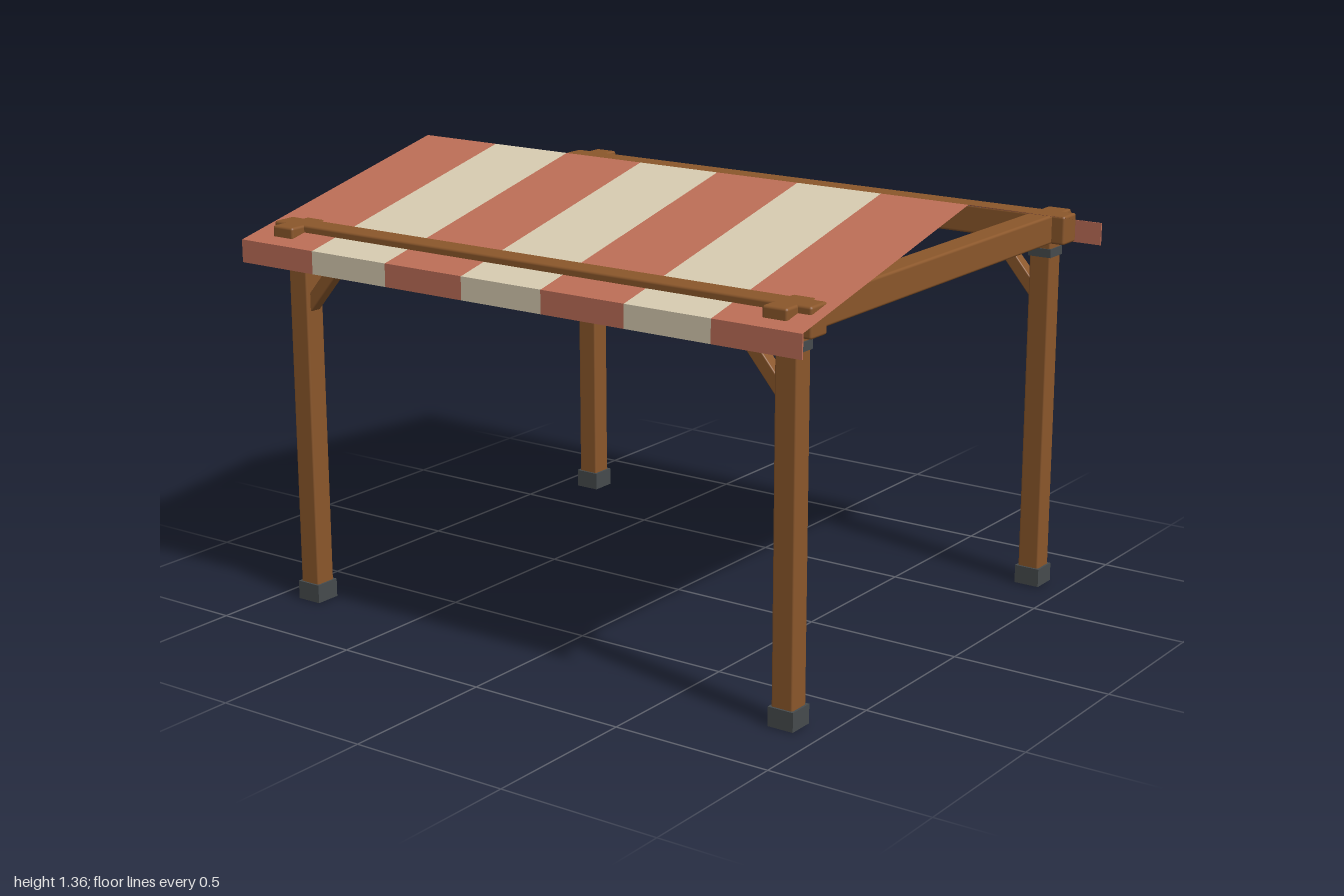
import * as THREE from 'three';
import { RoundedBoxGeometry } from 'three/addons/geometries/RoundedBoxGeometry.js';

const mat = (name, color, side = THREE.FrontSide) => {
  const m = new THREE.MeshStandardMaterial({ color, side });
  m.name = name;
  return m;
};

export function createModel() {
  const group = new THREE.Group();
  group.name = 'canopyPergola';

  const wood = mat('wood', 0x8b572b);
  const metal = mat('darkMetal', 0x464b4d);
  const red = mat('redFabric', 0xbd6e57, THREE.DoubleSide);
  const cream = mat('creamFabric', 0xd8ccb1, THREE.DoubleSide);

  const add = (name, geometry, material, x, y, z) => {
    const mesh = new THREE.Mesh(geometry, material);
    mesh.name = name;
    mesh.position.set(x, y, z);
    group.add(mesh);
    return mesh;
  };
  const timber = (w, h, d, r = 0.008) => new RoundedBoxGeometry(w, h, d, 2, r);

  const postX = 0.88, postZ = 0.716;
  const beamY = 1.16, beamH = 0.09, beamW = 0.08;

  // Posts with metal feet, collars and a diagonal brace each
  const braceFrom = new THREE.Vector2(0.86, 0.946);
  const braceTo = new THREE.Vector2(0.70, 1.133);
  const braceDir = braceTo.clone().sub(braceFrom);
  for (const sx of [-1, 1]) {
    for (const sz of [-1, 1]) {
      const x = sx * postX, z = sz * postZ;
      add('post', timber(0.07, 1.13, 0.07, 0.006), wood, x, 0.565, z);
      add('postFoot', new THREE.BoxGeometry(0.083, 0.058, 0.083), metal, x, 0.031, z);
      add('postCollar', new THREE.BoxGeometry(0.077, 0.027, 0.077), metal, x, 1.084, z);
      const brace = add('brace', timber(0.04, braceDir.length(), 0.04, 0.004), wood,
        sx * (braceFrom.x + braceTo.x) / 2, (braceFrom.y + braceTo.y) / 2, z);
      brace.rotation.z = sx * Math.atan2(-braceDir.x, braceDir.y);
    }
  }

  // Frame beams
  for (const s of [-1, 1]) {
    add('longBeam', timber(1.925, beamH, beamW), wood, 0, beamY, s * postZ);
    add('sideBeam', timber(beamW, beamH - 0.001, 1.615), wood, s * postX, beamY, 0);
  }

  // Striped gable canopy with hanging valances
  const stripes = 7, stripeW = 2 / stripes;
  const ridgeY = 1.357, eaveY = 1.16, eaveZ = 0.856, valanceH = 0.07;
  const rise = ridgeY - eaveY;
  const slopeLength = Math.hypot(rise, eaveZ);
  const pitch = Math.atan2(rise, eaveZ);
  for (let i = 0; i < stripes; i++) {
    const x = -1 + stripeW * (i + 0.5);
    const fabric = i % 2 ? cream : red;
    for (const s of [-1, 1]) {
      const panel = new THREE.PlaneGeometry(stripeW, slopeLength);
      panel.rotateX(-Math.PI / 2 + s * pitch);
      add('canopyStripe', panel, fabric, x, (ridgeY + eaveY) / 2, s * eaveZ / 2);
      add('valanceStripe', new THREE.BoxGeometry(stripeW, valanceH, 0.005), fabric,
        x, eaveY - valanceH / 2, s * eaveZ);
    }
  }

  return group;
}
